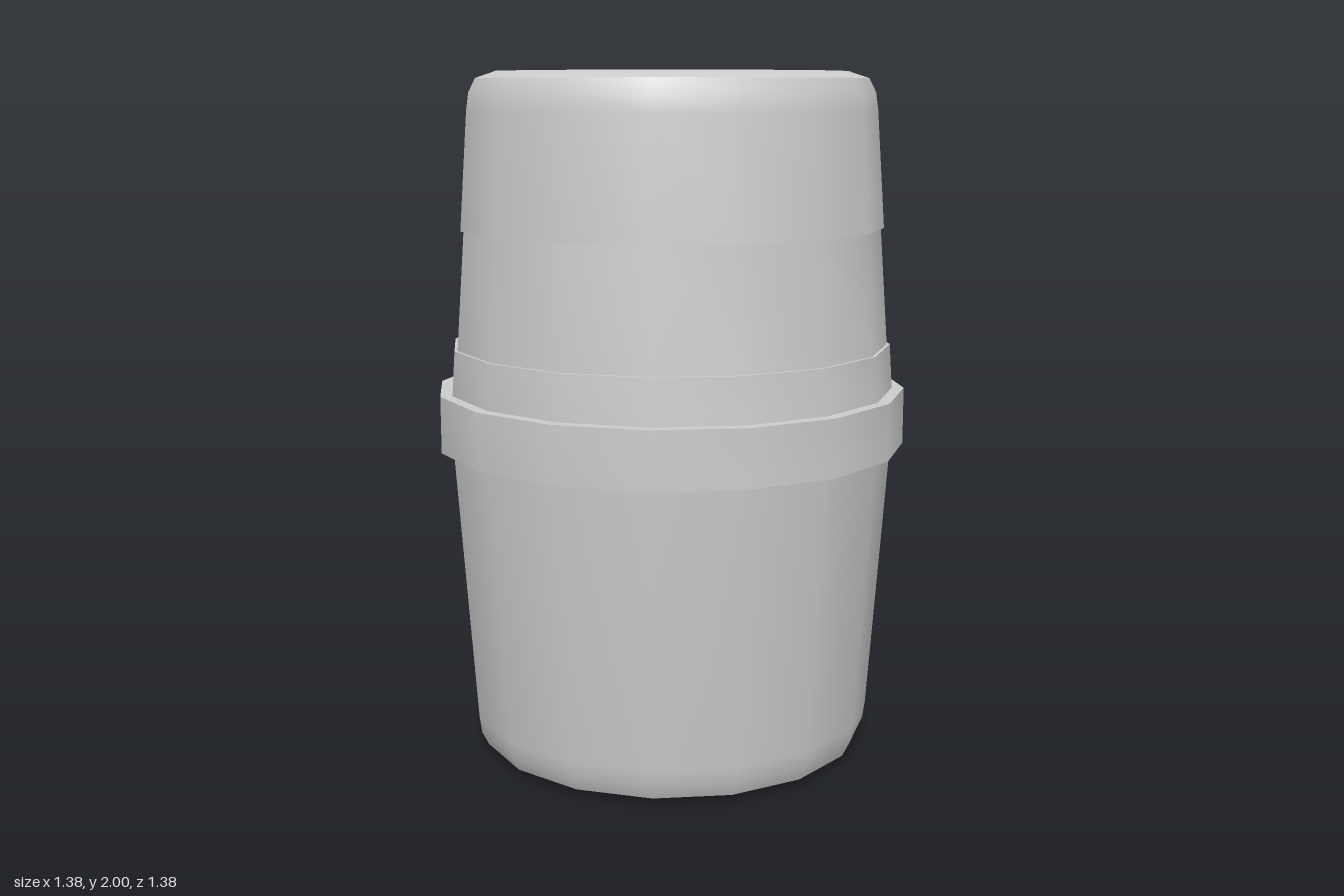
import * as THREE from 'three';
import { mergeGeometries, toCreasedNormals } from 'three/addons/utils/BufferGeometryUtils.js';

const SIDES = 16;
const CREASE = 0.5;
const TOP = 2;
const FLOOR = 1.965; // floor of the recess in the lid
const RECESS_R = 0.51;

// Profile of [radius, height] pairs, listed from bottom to top
function turned(profile) {
  const points = profile.map(([r, y]) => new THREE.Vector2(r, y));
  return new THREE.LatheGeometry(points, SIDES).toNonIndexed();
}

// Raised pad: a quarter of the lid top, notched back towards the centre
function lidPad(angle) {
  const shape = new THREE.Shape();
  shape.moveTo(-0.235, 0.235);
  shape.lineTo(0.235, 0.235);
  for (let i = 2; i <= 6; i++) {
    const a = (i * Math.PI * 2) / SIDES;
    shape.lineTo(RECESS_R * Math.cos(a), RECESS_R * Math.sin(a));
  }
  const pad = new THREE.ExtrudeGeometry(shape, { depth: TOP - FLOOR, bevelEnabled: false });
  return pad.rotateX(-Math.PI / 2).translate(0, FLOOR, 0).rotateY(angle);
}

export function createModel() {
  const group = new THREE.Group();
  const material = new THREE.MeshStandardMaterial({ color: 0xcccccc });
  const add = (name, ...geometries) => {
    const mesh = new THREE.Mesh(toCreasedNormals(mergeGeometries(geometries), CREASE), material);
    mesh.name = name;
    group.add(mesh);
  };

  // Tapered lower half with a bevelled foot
  add('lowerShell', turned([
    [0, 0], [RECESS_R, 0], [0.57, 0.02], [0.59, 0.06], [0.597, 0.11], [0.655, 0.93],
  ]));

  // Flat band around the middle
  add('collar', turned([
    [0.64, 0.92], [0.69, 0.92], [0.69, 1.085], [0.64, 1.085],
  ]));

  // Upper half: shallow recessed band, bevelled rim, sunken top with two raised pads
  add('lid',
    turned([
      [0.655, 1.08], [0.646, 1.215], [0.637, 1.215], [0.612, 1.555], [0.621, 1.555],
      [0.597, 1.89], [0.59, 1.94], [0.57, 1.98], [RECESS_R, TOP], [RECESS_R, FLOOR], [0, FLOOR],
    ]),
    lidPad(0), lidPad(Math.PI));

  return group;
}
